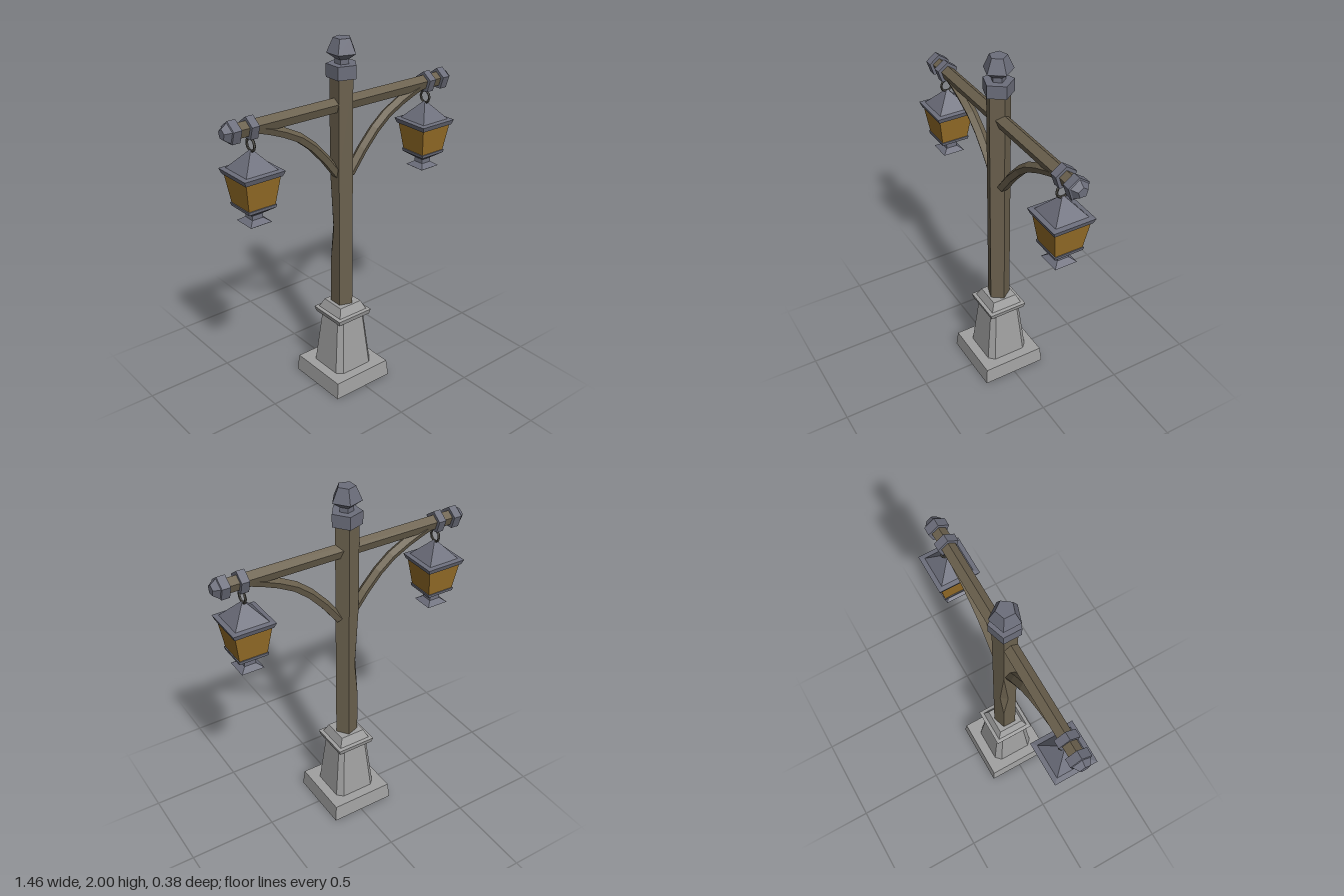
import * as THREE from 'three';

const mat = (name, color) => {
  const m = new THREE.MeshStandardMaterial({ color, flatShading: true });
  m.name = name;
  return m;
};

// Cross-sections, counter-clockwise seen from above
const poly = (r, y, n = 5) => Array.from({ length: n }, (_, i) => {
  const a = (i / n) * Math.PI * 2;
  return new THREE.Vector3(r * Math.cos(a), y, -r * Math.sin(a));
});
const square = (h, y) => [[h, h], [-h, h], [-h, -h], [h, -h]]
  .map(([x, z]) => new THREE.Vector3(x, y, -z));
const chamfered = (h, y, c) => {
  const k = h - c;
  return [[h, -k], [h, k], [k, h], [-k, h], [-h, k], [-h, -k], [-k, -h], [k, -h]]
    .map(([x, z]) => new THREE.Vector3(x, y, -z));
};

// Skin a stack of cross-sections and close both ends
function loft(name, material, rings) {
  const pos = [];
  const tri = (a, b, c) => pos.push(...a.toArray(), ...b.toArray(), ...c.toArray());
  const n = rings[0].length;
  for (let r = 0; r < rings.length - 1; r++) {
    for (let i = 0; i < n; i++) {
      const j = (i + 1) % n, lo = rings[r], hi = rings[r + 1];
      tri(lo[i], lo[j], hi[j]);
      tri(lo[i], hi[j], hi[i]);
    }
  }
  const first = rings[0], last = rings[rings.length - 1];
  for (let i = 1; i < n - 1; i++) {
    tri(first[0], first[i + 1], first[i]);
    tri(last[0], last[i], last[i + 1]);
  }
  const geo = new THREE.BufferGeometry();
  geo.setAttribute('position', new THREE.Float32BufferAttribute(pos, 3));
  geo.computeVertexNormals();
  const mesh = new THREE.Mesh(geo, material);
  mesh.name = name;
  return mesh;
}

// Profile of [size, height] pairs swept with one cross-section type
const stack = (name, material, section, profile) =>
  loft(name, material, profile.map(([s, y]) => section(s, y)));

export function createModel() {
  const stone = mat('stone', 0xa0a0a0);
  const wood = mat('wood', 0x6b614e);
  const metal = mat('metal', 0x6c6e7b);
  const iron = mat('darkIron', 0x4c4a44);
  const amber = mat('amberGlass', 0x986f28);

  const model = new THREE.Group();
  model.name = 'lampPost';

  // Central column
  const column = new THREE.Group();
  column.name = 'column';
  column.position.x = -0.012;
  model.add(column);
  column.add(
    stack('plinth', stone, square, [[0.14, 0.025], [0.19, 0], [0.181, 0.095]]),
    stack('pedestal', stone, (h, y) => chamfered(h, y, h * 0.25), [[0.126, 0.09], [0.091, 0.42]]),
    stack('pedestalCap', stone, square,
      [[0.107, 0.413], [0.114, 0.442], [0.094, 0.445], [0.072, 0.495]]),
    stack('collar', metal, poly, [[0.083, 1.8], [0.083, 1.87]]),
    stack('finial', metal, poly,
      [[0.038, 1.86], [0.038, 1.895], [0.08, 1.925], [0.047, 2]]),
  );

  // Post with a chip cut from its back corner
  const postRing = (y, chip) => {
    const p = poly(0.065, y), corner = p[2];
    const a = corner.clone().lerp(p[1], chip), b = corner.clone().lerp(p[3], chip);
    return [p[0], p[1], a, b, p[3], p[4]];
  };
  column.add(loft('post', wood,
    [[0.45, 0], [0.74, 0], [0.96, 0.36], [1.3, 0], [1.82, 0]].map(([y, c]) => postRing(y, c))));

  // Horizontal parts are built upright, then laid along -x
  const lay = (mesh) => {
    mesh.geometry.rotateZ(Math.PI / 2).translate(0, 1.66, 0);
    return mesh;
  };
  model.add(lay(stack('crossArm', wood, poly, [[0.04, -0.67], [0.04, 0.67]])));

  // Curved brace
  const curve = new THREE.CatmullRomCurve3([
    [-0.54, 1.65], [-0.43, 1.61], [-0.29, 1.54], [-0.17, 1.435], [-0.035, 1.265],
  ].map(([x, y]) => new THREE.Vector3(x, y, 0)));
  const braceRings = Array.from({ length: 7 }, (_, k) => {
    const c = curve.getPoint(k / 6), t = curve.getTangent(k / 6);
    return Array.from({ length: 5 }, (_, i) => {
      const a = (i / 5) * Math.PI * 2, u = 0.027 * Math.cos(a), w = 0.032 * Math.sin(a);
      return new THREE.Vector3(c.x - t.y * u, c.y + t.x * u, w);
    });
  });

  // Each side carries an end cap, a band, a brace and a hanging lantern
  for (const side of ['right', 'left']) {
    const half = new THREE.Group();
    half.name = side + 'Side';
    if (side === 'left') half.rotation.y = Math.PI;
    half.add(
      lay(stack('armEndCap', metal, poly,
        [[0.06, 0.652], [0.06, 0.697], [0.052, 0.7], [0.028, 0.731]])),
      lay(stack('armBand', metal, poly, [[0.06, 0.553], [0.06, 0.596]])),
      loft('brace', wood, braceRings),
    );

    const lantern = new THREE.Group();
    lantern.name = 'lantern';
    lantern.position.x = -0.574;
    const hook = new THREE.Mesh(new THREE.TorusGeometry(0.034, 0.007, 5, 10), iron);
    hook.name = 'hook';
    hook.rotation.y = Math.PI / 2;
    hook.position.y = 1.575;
    lantern.add(
      hook,
      stack('lanternRoof', metal, square,
        [[0.107, 1.418], [0.117, 1.446], [0.092, 1.45], [0.006, 1.547]]),
      stack('lanternGlass', amber, square, [[0.077, 1.262], [0.1, 1.42]]),
      stack('lanternTray', metal, square, [[0.03, 1.215], [0.08, 1.25], [0.083, 1.267]]),
      stack('lanternFoot', metal, square,
        [[0.056, 1.165], [0.063, 1.17], [0.032, 1.192], [0.03, 1.22]]),
    );
    half.add(lantern);
    model.add(half);
  }
  return model;
}
